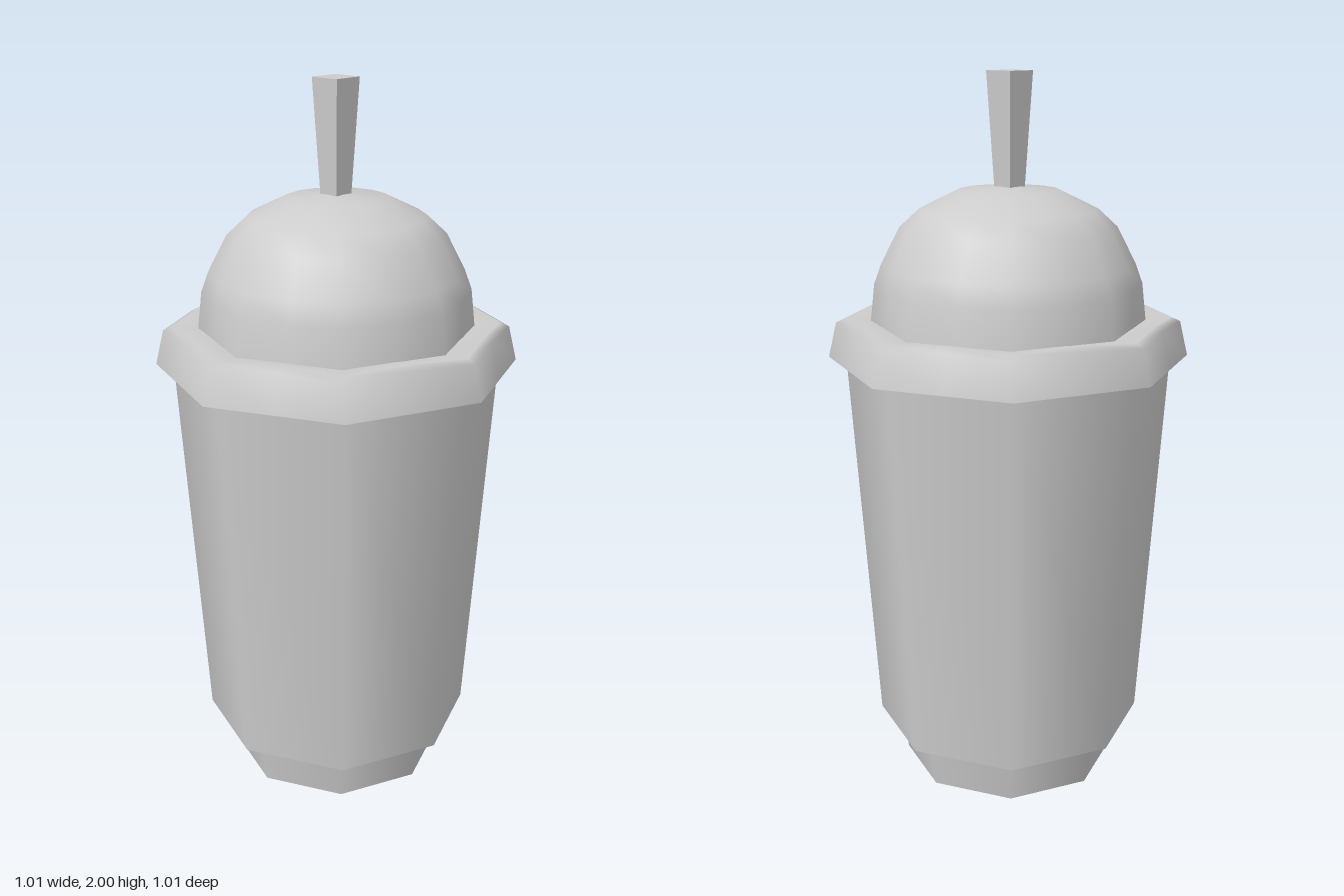
import * as THREE from 'three';

const FLAT = Math.cos(Math.PI / 8); // edge-middle to corner ratio of an octagon

// Revolves [radius, height] pairs, listed bottom to top, with corners on the axes
function ring(profile, sides = 8) {
  return new THREE.LatheGeometry(profile.map(([r, y]) => new THREE.Vector2(r, y)), sides);
}

// Sixteen-sided revolve whose edge middles are squeezed and lifted per profile row
function octagonal(profile, squeeze, lift) {
  const geometry = ring(profile, 16);
  const p = geometry.attributes.position;
  for (let i = 0; i < p.count; i++) {
    const row = i % profile.length;
    const column = Math.floor(i / profile.length);
    if (column % 2 === 0) continue;
    const s = squeeze[row];
    p.setXYZ(i, p.getX(i) * s, p.getY(i) + lift[row], p.getZ(i) * s);
  }
  return geometry;
}

export function createModel() {
  const group = new THREE.Group();
  const grey = new THREE.MeshStandardMaterial({ color: 0xcccccc });
  grey.name = 'plainGrey';

  function add(name, geometry) {
    const mesh = new THREE.Mesh(geometry, grey);
    mesh.name = name;
    group.add(mesh);
  }

  // Narrow foot of the cup
  add('footBottom', ring([[0, 0], [0.305, 0]]));
  add('foot', ring([[0.305, 0], [0.327, 0.137]]));

  // Tapered cup with its stepped underside
  add('cupUnderside', ring([[0.327, 0.137], [0.383, 0.137]]));
  add('cup', ring([[0.383, 0.137], [0.455, 1.225]]));

  // Overhanging lid rim, gently waved along its top
  add('lidUnderside', ring([[0.455, 1.225], [0.503, 1.225]]));
  add('lidRim', octagonal(
    [[0.503, 1.225], [0.48, 1.322], [0.455, 1.334], [0.375, 1.326]],
    [FLAT, FLAT, FLAT, FLAT],
    [0, 0.008, 0.008, 0]
  ));

  // Domed lid, octagonal where it meets the rim and rounder above
  add('dome', octagonal(
    [[0.383, 1.325], [0.371, 1.43], [0.35, 1.487], [0.298, 1.587],
      [0.245, 1.636], [0.14, 1.687], [0, 1.7]],
    [FLAT, 0.955, 0.98, 0.99, 1, 1, 1],
    [0, 0, 0, 0, 0, 0, 0]
  ));

  // Square straw that widens upwards
  const straw = new THREE.BoxGeometry(0.088, 0.32, 0.088);
  const p = straw.attributes.position;
  for (let i = 0; i < p.count; i++) {
    if (p.getY(i) < 0) p.setXYZ(i, p.getX(i) * 0.65, p.getY(i), p.getZ(i) * 0.65);
  }
  straw.computeVertexNormals();
  straw.translate(-0.002, 1.84, -0.002);
  add('straw', straw);

  return group;
}
